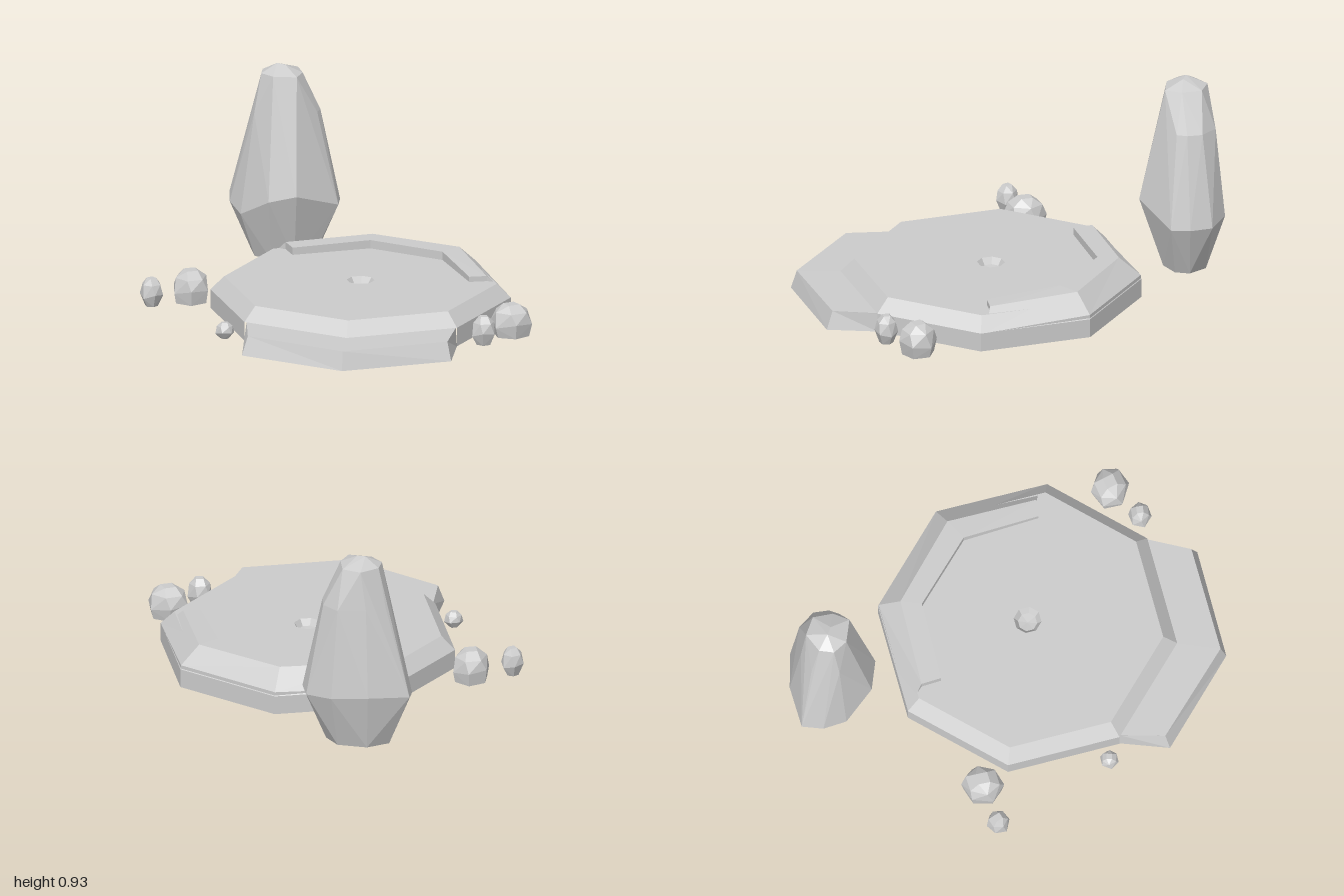
import * as THREE from 'three';
import { ConvexGeometry } from 'three/addons/geometries/ConvexGeometry.js';

const stone = new THREE.MeshStandardMaterial({ color: 0xcccccc, flatShading: true, side: THREE.DoubleSide });
const CX = 0.1, CZ = 0.065; // centre of the octagonal platform

// Joins rows of points into a faceted sheet
function sheet(name, rows) {
  const pos = [];
  for (let i = 0; i < rows.length - 1; i++) {
    for (let j = 0; j < rows[i].length - 1; j++) {
      const a = rows[i][j], b = rows[i][j + 1], c = rows[i + 1][j + 1], d = rows[i + 1][j];
      pos.push(...a, ...d, ...b, ...b, ...d, ...c);
    }
  }
  const g = new THREE.BufferGeometry();
  g.setAttribute('position', new THREE.Float32BufferAttribute(pos, 3));
  g.computeVertexNormals();
  const m = new THREE.Mesh(g, stone);
  m.name = name;
  return m;
}

// Part of an octagon, from corner k0 to corner k1
function octagon(r, y, k0 = 0, k1 = 8) {
  const row = [];
  for (let k = k0; k <= k1; k++) {
    const a = k * Math.PI / 4;
    row.push([CX + r * Math.cos(a), y, CZ + r * Math.sin(a)]);
  }
  return row;
}

const atHeight = (pts, y) => pts.map(([x, z]) => [x, y, z]);

function rock(name, points) {
  const m = new THREE.Mesh(new ConvexGeometry(points.map(p => new THREE.Vector3(...p))), stone);
  m.name = name;
  return m;
}

// Small stone: stacked irregular rings [height, scale], turned by a given angle
function pebble(x, z, w, d, h, turn, base) {
  const pts = [];
  [[0, base], [0.4, 1], [0.78, 0.82], [1, 0.4]].forEach(([t, s], i) => {
    const n = i === 3 ? 4 : 6;
    for (let k = 0; k < n; k++) {
      const a = turn + (k / n) * Math.PI * 2 + (i === 2 ? 0.25 : 0);
      const y = h * (t + (i === 1 ? 0.08 * Math.sin(k * 2.3) : 0));
      pts.push([x + Math.cos(a) * w / 2 * s, y, z + Math.sin(a) * d / 2 * s]);
    }
  });
  return rock('smallRock', pts);
}

export function createModel() {
  const group = new THREE.Group();

  // Platform: hollow shell with bevelled rim, deck and a shallow central pit
  group.add(sheet('platformWall', [octagon(0.7, 0, 3, 9), octagon(0.7, 0.09, 3, 9)]));
  group.add(sheet('platformDeck', [
    octagon(0.7, 0.09), octagon(0.635, 0.155), octagon(0.065, 0.155),
  ]));
  group.add(sheet('centrePit', [octagon(0.065, 0.155), octagon(0.045, 0.125), octagon(0, 0.12)]));

  // Lower step on the front side
  const foot = [[-0.393, 0.56], [-0.385, 0.795], [0.1, 0.995], [0.59, 0.795], [0.595, 0.56]];
  const lip = [[-0.385, 0.56], [-0.36, 0.77], [0.1, 0.968], [0.57, 0.77], [0.59, 0.56]];
  const back = [[-0.385, 0.56], [-0.385, 0.56], [0.1, 0.765], [0.59, 0.56], [0.59, 0.56]];
  group.add(sheet('frontStep', [atHeight(foot, 0), atHeight(lip, 0.087), atHeight(back, 0.09)]));

  // Raised ledge around the back and left, with closed ends
  const skirt = [[-0.385, -0.425], [0.1, -0.632], [0.592, -0.428], [0.79, 0.04]];
  const outer = [[-0.29, -0.38], [0.1, -0.53], [0.52, -0.365], [0.685, 0.03]];
  const inner = [[-0.25, -0.295], [0.1, -0.43], [0.45, -0.28], [0.605, 0.05]];
  const heights = [0.19, 0.195, 0.195, 0.18];
  const lift = pts => pts.map(([x, z], i) => [x, heights[i], z]);
  group.add(sheet('backLedge', [
    atHeight(skirt, 0.09), skirt.map(([x, z], i) => [x, [0.09, 0.11, 0.11, 0.09][i], z]),
    lift(outer), lift(inner), atHeight(inner, 0.155),
  ]));
  for (const i of [0, 3]) {
    const [o, n, s] = [outer[i], inner[i], skirt[i]];
    group.add(sheet('ledgeEnd', [
      [[s[0], 0.09, s[1]], [o[0], heights[i], o[1]], [n[0], heights[i], n[1]]],
      [[s[0], 0.09, s[1]], [o[0], 0.15, o[1]], [n[0], 0.15, n[1]]],
    ]));
  }

  // Tall standing rock, wide low down and tapering to a blunt peak
  const belly = [[-0.6, -0.9], [-0.42, -0.98], [-0.25, -1], [-0.12, -0.95], [-0.08, -0.85],
    [-0.08, -0.76], [-0.26, -0.6], [-0.39, -0.6], [-0.53, -0.7], [-0.59, -0.8]];
  const bellyY = [0.27, 0.28, 0.27, 0.26, 0.26, 0.26, 0.34, 0.31, 0.22, 0.25];
  const shoulder = [[-0.48, -0.87], [-0.4, -0.93], [-0.27, -0.955], [-0.19, -0.9], [-0.17, -0.83],
    [-0.18, -0.78], [-0.265, -0.683], [-0.385, -0.683], [-0.47, -0.74]];
  const crown = [[-0.44, -0.84], [-0.37, -0.91], [-0.28, -0.89], [-0.25, -0.8],
    [-0.27, -0.72], [-0.38, -0.72], [-0.44, -0.77]];
  const base = [[-0.49, -0.84], [-0.4, -0.91], [-0.26, -0.91], [-0.19, -0.84],
    [-0.2, -0.77], [-0.28, -0.71], [-0.39, -0.71], [-0.47, -0.76]];
  group.add(rock('standingRock', [
    ...atHeight(base, 0),
    ...belly.map(([x, z], i) => [x, bellyY[i], z]),
    ...atHeight(shoulder, 0.7),
    ...atHeight(crown, 0.885),
    [-0.37, 0.925, -0.81], [-0.33, 0.92, -0.8],
  ]));

  // Small rocks scattered beside the platform: x, z, width, depth, height, turn, base scale
  const pebbles = [
    [-0.7, -0.04, 0.18, 0.2, 0.15, 0.4, 0.9],
    [-0.875, 0.055, 0.11, 0.11, 0.135, 0.1, 0.55],
    [-0.49, 0.525, 0.09, 0.09, 0.075, 0.7, 0.5],
    [0.83, 0.355, 0.2, 0.18, 0.15, 0.2, 0.85],
    [0.715, 0.51, 0.12, 0.11, 0.135, 0.5, 0.6],
  ];
  for (const p of pebbles) group.add(pebble(...p));

  return group;
}
